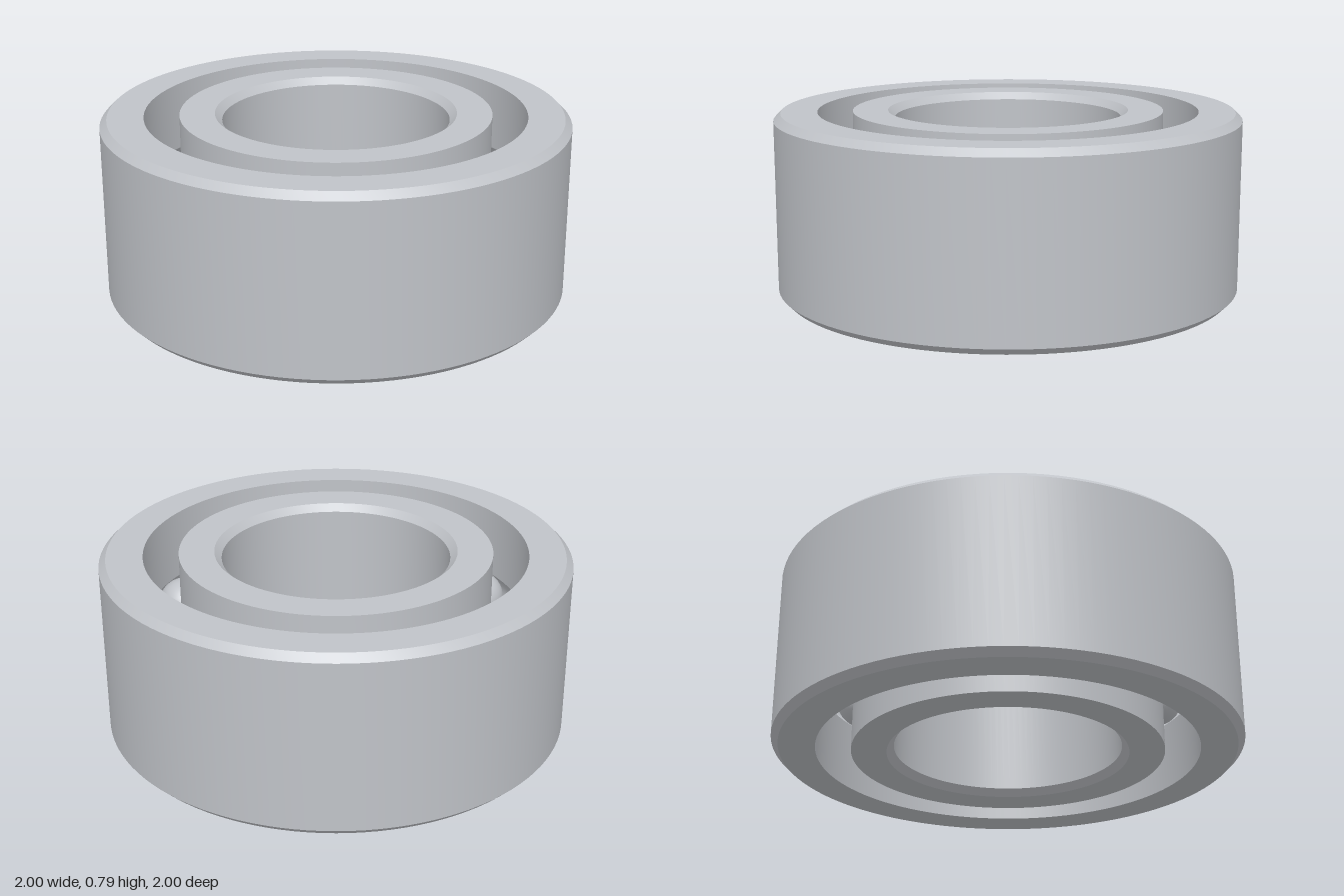
import * as THREE from 'three';
import { toCreasedNormals } from 'three/addons/utils/BufferGeometryUtils.js';

const HEIGHT = 0.79, MID = HEIGHT / 2, CHAMFER = 0.03;
const BALLS = 14, PITCH = 0.74, BALL_RADIUS = 0.118, GROOVE_RADIUS = 0.12;

// Arc of the ball groove, cut into a race wall of the given radius
function groove(wall) {
  const side = Math.sign(wall - PITCH);
  const half = Math.acos(Math.abs(wall - PITCH) / GROOVE_RADIUS);
  const points = [];
  for (let i = 0; i <= 12; i++) {
    const a = half * (i / 6 - 1);
    points.push([PITCH + side * GROOVE_RADIUS * Math.cos(a), MID + GROOVE_RADIUS * Math.sin(a)]);
  }
  return points;
}

// Revolve a closed counter-clockwise cross-section, keeping its edges sharp
function ring(name, profile, material) {
  const points = [...profile, profile[0]].map(([x, y]) => new THREE.Vector2(x, y));
  const mesh = new THREE.Mesh(toCreasedNormals(new THREE.LatheGeometry(points, 112), 0.5), material);
  mesh.name = name;
  return mesh;
}

export function createModel() {
  const group = new THREE.Group();
  group.name = 'ballBearing';
  const steel = new THREE.MeshStandardMaterial({ color: 0xc0c3c8 });
  steel.name = 'steel';

  // Outer race: chamfered outside, groove inside
  const outerWall = 0.815;
  group.add(ring('outerRace', [
    [outerWall, 0], [1 - CHAMFER, 0], [1, CHAMFER],
    [1, HEIGHT - CHAMFER], [1 - CHAMFER, HEIGHT], [outerWall, HEIGHT],
    ...groove(outerWall).reverse(),
  ], steel));

  // Inner race: chamfered bore, groove outside
  const bore = 0.485, innerWall = 0.665;
  group.add(ring('innerRace', [
    [bore + CHAMFER, 0], [innerWall, 0],
    ...groove(innerWall),
    [innerWall, HEIGHT], [bore + CHAMFER, HEIGHT],
    [bore, HEIGHT - CHAMFER], [bore, CHAMFER],
  ], steel));

  // Balls spaced evenly between the races
  const balls = new THREE.Group();
  balls.name = 'balls';
  const ballGeometry = new THREE.SphereGeometry(BALL_RADIUS, 32, 20);
  for (let i = 0; i < BALLS; i++) {
    const a = (i / BALLS) * Math.PI * 2;
    const ball = new THREE.Mesh(ballGeometry, steel);
    ball.name = 'ball';
    ball.position.set(PITCH * Math.cos(a), MID, PITCH * Math.sin(a));
    balls.add(ball);
  }
  group.add(balls);
  return group;
}
